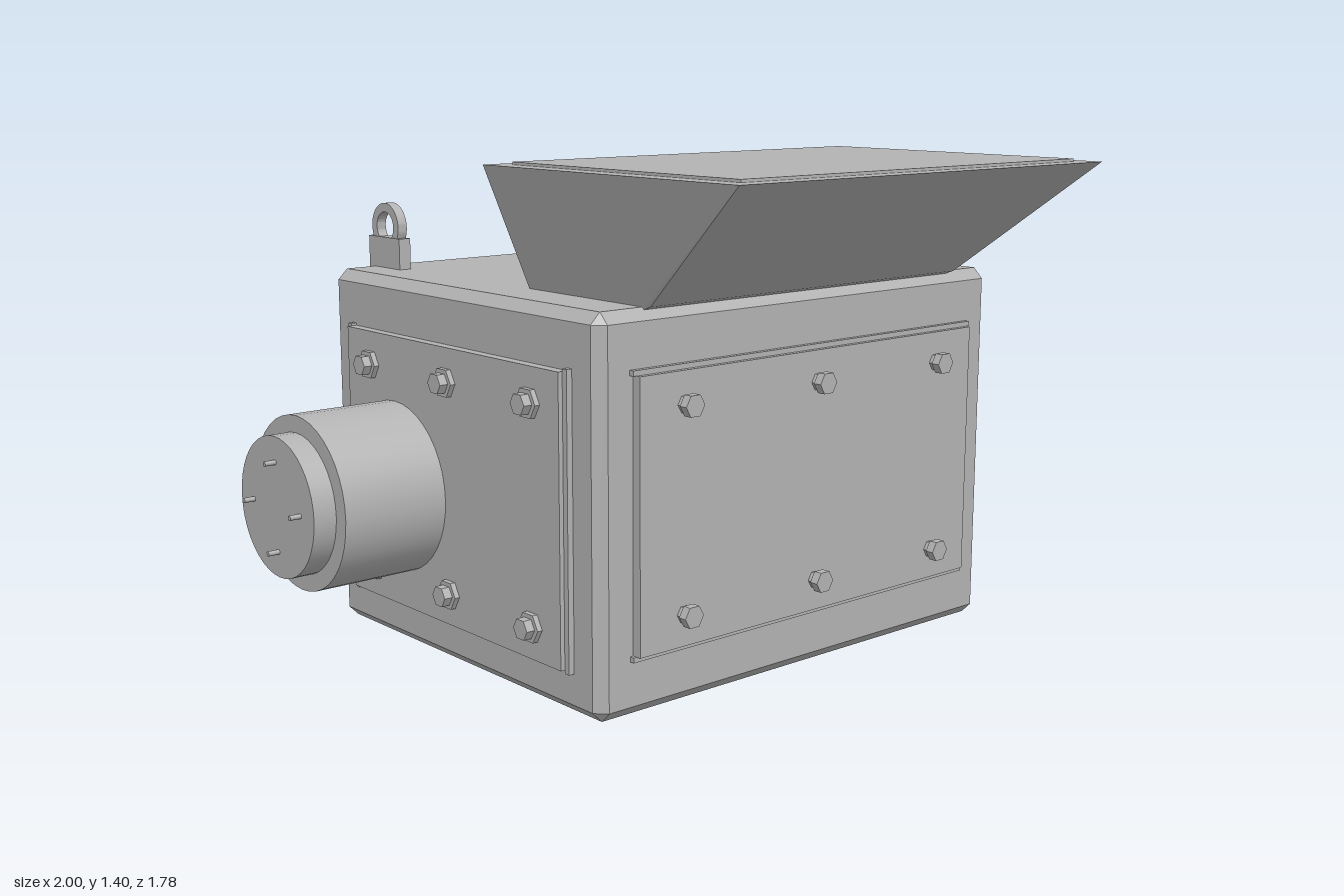
import * as THREE from 'three';
import { toCreasedNormals } from 'three/addons/utils/BufferGeometryUtils.js';
import { ConvexGeometry } from 'three/addons/geometries/ConvexGeometry.js';

const steel = new THREE.MeshStandardMaterial({ color: 0xb3b3b3 });
steel.name = 'grey steel';

const CX = 0.1875; // middle of the housing across x

function add(parent, name, geometry, x = 0, y = 0, z = 0) {
  const mesh = new THREE.Mesh(geometry, steel);
  mesh.name = name;
  mesh.position.set(x, y, z);
  parent.add(mesh);
  return mesh;
}

// Box given by its limits on each axis
function box(parent, name, x0, x1, y0, y1, z0, z1) {
  return add(parent, name, new THREE.BoxGeometry(x1 - x0, y1 - y0, z1 - z0),
    (x0 + x1) / 2, (y0 + y1) / 2, (z0 + z1) / 2);
}

// Cylinder lying along x
function cylinderX(parent, name, radius, x0, x1, y, z, sides = 40) {
  const geometry = new THREE.CylinderGeometry(radius, radius, x1 - x0, sides).rotateZ(Math.PI / 2);
  return add(parent, name, geometry, (x0 + x1) / 2, y, z);
}

// Hexagonal prism pointing along +z, starting at z = 0, corners left and right
function hexPrism(radius, depth) {
  return toCreasedNormals(new THREE.CylinderGeometry(radius, radius, depth, 6)
    .rotateY(Math.PI / 2).rotateX(Math.PI / 2), 0.3).translate(0, 0, depth / 2);
}

// Box with all edges cut at 45 degrees
function chamferedBox(w, h, d, c) {
  const points = [];
  for (const sx of [-1, 1]) for (const sy of [-1, 1]) for (const sz of [-1, 1]) {
    for (const [a, b, e] of [[0, c, c], [c, 0, c], [c, c, 0]]) {
      points.push(new THREE.Vector3(sx * (w / 2 - a), sy * (h / 2 - b), sz * (d / 2 - e)));
    }
  }
  return new ConvexGeometry(points);
}

// Side cover facing +z: local x runs along the housing side
function sideCover(name) {
  const g = new THREE.Group();
  g.name = name;
  box(g, 'coverPlate', -0.34, 0.655, 0.125, 0.905, -0.01, 0.03);
  box(g, 'coverRailFront', -0.357, -0.34, 0.115, 0.912, -0.01, 0.017);
  box(g, 'coverRailBack', 0.655, 0.672, 0.115, 0.912, -0.01, 0.017);
  for (const x of [-0.22, 0.16, 0.535]) for (const y of [0.215, 0.81]) {
    add(g, 'boltCollar', hexPrism(0.043, 0.015), x, y, 0.03);
    add(g, 'boltHead', hexPrism(0.03, 0.04), x, y, 0.03);
  }
  return g;
}

export function createModel() {
  const model = new THREE.Group();
  model.name = 'hopperMachine';

  // Housing
  add(model, 'housing', chamferedBox(1.485, 1.06, 1.24, 0.03), CX, 0.53, -0.158);

  // Front cover with rails and bolts
  const front = new THREE.Group();
  front.name = 'frontCover';
  box(front, 'coverPlate', -0.445, 0.818, 0.167, 0.897, 0.45, 0.49);
  box(front, 'coverRailBottom', -0.455, 0.83, 0.153, 0.167, 0.45, 0.476);
  box(front, 'coverRailTop', -0.455, 0.83, 0.897, 0.911, 0.45, 0.476);
  for (const x of [-0.295, 0.187, 0.668]) for (const y of [0.255, 0.81]) {
    add(front, 'boltStem', hexPrism(0.025, 0.02), x, y, 0.49);
    add(front, 'boltHead', hexPrism(0.032, 0.025), x, y, 0.505);
  }
  model.add(front);

  // Covers on both sides
  const left = sideCover('leftCover');
  left.rotation.y = Math.PI / 2;
  left.position.x = 0.93;
  model.add(left);
  const right = sideCover('rightCover');
  // Turned to -x, then shifted so the bolts line up with the other side
  right.rotation.y = -Math.PI / 2;
  right.position.set(-0.555, 0, -0.315);
  model.add(right);

  // Motor with end cap and four pins
  const motor = new THREE.Group();
  motor.name = 'motor';
  cylinderX(motor, 'motorBody', 0.245, -0.9, -0.58, 0.475, -0.415);
  cylinderX(motor, 'motorCap', 0.197, -0.967, -0.9, 0.475, -0.415);
  for (let i = 0; i < 4; i++) {
    const a = i * Math.PI / 2;
    cylinderX(motor, 'motorPin', 0.007, -1, -0.96,
      0.475 + 0.125 * Math.sin(a), -0.415 + 0.125 * Math.cos(a), 10);
  }
  model.add(motor);

  // Slanted hopper: a hull from its foot to its wide mouth
  const hopper = new THREE.Group();
  hopper.name = 'hopper';
  const corners = [];
  for (const [y, x0, x1, z0, z1] of [
    [1.05, -0.387, 0.763, -0.033, 0.43],
    [1.063, -0.39, 0.766, -0.034, 0.465],
    [1.392, -0.49, 0.866, -0.1, 0.887],
  ]) {
    for (const x of [x0, x1]) for (const z of [z0, z1]) corners.push(new THREE.Vector3(x, y, z));
  }
  add(hopper, 'hopperBody', new ConvexGeometry(corners));
  box(hopper, 'hopperLid', -0.435, 0.811, 1.385, 1.4, -0.042, 0.833);
  model.add(hopper);

  // Lifting eyes at the back corners
  const ring = new THREE.Shape().absarc(0, 0, 0.07, 0, Math.PI * 2);
  ring.holes.push(new THREE.Path().absarc(0, 0, 0.044, 0, Math.PI * 2, true));
  const ringGeometry = toCreasedNormals(new THREE.ExtrudeGeometry(ring, {
    depth: 0.03, bevelEnabled: false, curveSegments: 32,
  }).translate(0, 0, -0.015).rotateY(Math.PI / 2), 0.6);
  for (const side of [-1, 1]) {
    const eye = new THREE.Group();
    eye.name = side < 0 ? 'rightLiftingEye' : 'leftLiftingEye';
    const x = CX + side * 0.596;
    box(eye, 'eyeBase', x - 0.019, x + 0.019, 1.02, 1.15, -0.778, -0.615);
    add(eye, 'eyeRing', ringGeometry, x, 1.18, -0.695);
    model.add(eye);
  }

  // Control box on the back
  box(model, 'backBox', -0.1, 0.475, 0.08, 0.535, -0.89, -0.77);

  return model;
}
